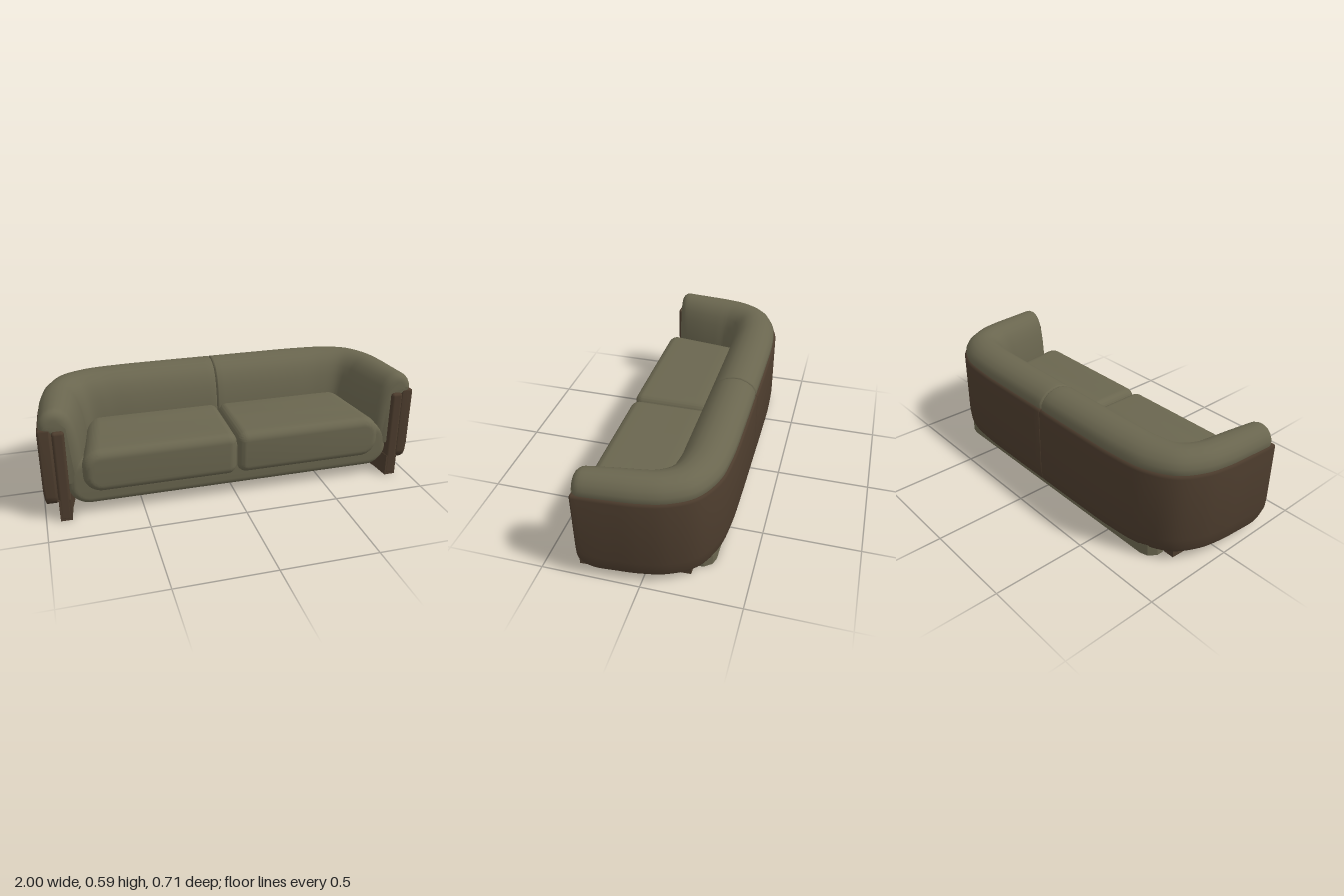
import * as THREE from 'three';
import { toCreasedNormals } from 'three/addons/utils/BufferGeometryUtils.js';
import { RoundedBoxGeometry } from 'three/addons/geometries/RoundedBoxGeometry.js';

const SEGMENTS = 8;
const curve = (pts) => new THREE.CatmullRomCurve3(pts.map(([x, z]) => new THREE.Vector3(x, 0, z)));

// Matching plan curves for half the sofa, from the back centre to the arm front
const outerPts = [[0, -0.355], [0.3, -0.355], [0.55, -0.35], [0.73, -0.325], [0.87, -0.25],
  [0.945, -0.13], [0.977, 0], [0.99, 0.15], [1, 0.31]];
const innerPts = [[0, -0.06], [0.25, -0.06], [0.45, -0.06], [0.6, -0.06], [0.7, -0.045],
  [0.735, 0], [0.745, 0.06], [0.765, 0.17], [0.8, 0.31]];
const outer = curve(outerPts);
const inner = curve(innerPts);

// Sections: [w, y], w runs from the outer curve (0) to the inner curve (1)
const rollSection = [[0.4, 0.18], [0.4, 0.46], [0.08, 0.48], [0.04, 0.5], [0.05, 0.53], [0.11, 0.558],
  [0.21, 0.58], [0.33, 0.592], [0.47, 0.594], [0.6, 0.584], [0.73, 0.56], [0.83, 0.522],
  [0.9, 0.47], [0.95, 0.41], [0.99, 0.33], [1, 0.18]];
const shellSection = [[0.05, 0.055], [0.02, 0.075], [0, 0.13], [0, 0.485], [0.015, 0.497], [0.05, 0.502],
  [0.3, 0.502], [0.33, 0.49], [0.33, 0.07], [0.3, 0.055]];

// Move a section inward by e, for rounded ends
function insetSection(section, e) {
  const T = 0.2, n = section.length;
  return section.map(([w, y], j) => {
    const a = section[(j + n - 1) % n], b = section[(j + 1) % n];
    const dw = (b[0] - a[0]) * T, dy = b[1] - a[1], len = Math.hypot(dw, dy);
    return [w + (dy / len) * e / T, y - (dw / len) * e];
  });
}

// Sweep a closed section along one half of the plan, s = 1 left or -1 right
function sweep(section, s, centre, r0, r1, reshape = (y) => y) {
  const rings = [], steps = 5, last = 0.16 * SEGMENTS, first = 0.3 * SEGMENTS;
  const d0 = r0 / first, d1 = r1 / last;
  for (let k = 0; k <= steps; k++) {
    const a = (k / steps) * Math.PI / 2;
    rings.push([d0 * (1 - Math.cos(a)), r0 * (1 - Math.sin(a))]);
  }
  for (let k = 1; k < 56; k++) rings.push([d0 + (1 - d0 - d1) * k / 56, 0]);
  for (let k = 0; k <= steps; k++) {
    const a = (k / steps) * Math.PI / 2;
    rings.push([1 - d1 * (1 - Math.sin(a)), r1 * (1 - Math.cos(a))]);
  }
  const pos = [], idx = [], n = section.length;
  const tri = (a, b, c) => (s > 0 ? idx.push(a, b, c) : idx.push(a, c, b));
  const put = (u, w, y) => {
    const p = outer.getPoint(u).lerp(inner.getPoint(u), w);
    pos.push(s * p.x, reshape(y, p.z), p.z);
  };
  for (const [u, e] of rings) for (const [w, y] of insetSection(section, e)) put(u, w, y);
  for (let i = 0; i < rings.length - 1; i++) {
    for (let j = 0; j < n; j++) {
      const a = i * n + j, b = i * n + (j + 1) % n;
      tri(a, b, a + n);
      tri(b, b + n, a + n);
    }
  }
  // Flat end caps
  const c0 = rings.length * n, end = c0 - n;
  put(0, ...centre);
  put(1, ...centre);
  for (let j = 0; j < n; j++) {
    const k = (j + 1) % n;
    tri(c0, k, j);
    tri(c0 + 1, end + j, end + k);
  }
  const g = new THREE.BufferGeometry();
  g.setAttribute('position', new THREE.Float32BufferAttribute(pos, 3));
  g.setIndex(idx);
  return toCreasedNormals(g, 0.8);
}

// Rectangle with radius ra on the x0 side and rb on the x1 side
function roundedRect(x0, x1, y0, y1, ra, rb) {
  const h = Math.PI / 2, sh = new THREE.Shape();
  sh.absarc(x0 + ra, y0 + ra, ra, 2 * h, 3 * h);
  sh.absarc(x1 - rb, y0 + rb, rb, 3 * h, 4 * h);
  sh.absarc(x1 - rb, y1 - rb, rb, 0, h);
  sh.absarc(x0 + ra, y1 - ra, ra, h, 2 * h);
  return sh;
}

// Front outline extruded from z0 to z1 with soft edges
function pillow(shape, z0, z1, size, thick) {
  const g = new THREE.ExtrudeGeometry(shape, { depth: z1 - z0 - 2 * thick, steps: 6, curveSegments: 10,
    bevelEnabled: true, bevelSize: size, bevelOffset: -size, bevelThickness: thick, bevelSegments: 8 });
  return g.translate(0, 0, z0 + thick);
}

// Plan outline [x, z] extruded between two heights
function slab(pts, y0, y1) {
  const shape = new THREE.Shape(pts.map(([x, z]) => new THREE.Vector2(x, z)));
  const g = new THREE.ExtrudeGeometry(shape, { depth: y1 - y0, bevelEnabled: false });
  return toCreasedNormals(g.rotateX(Math.PI / 2).translate(0, y1, 0), 0.6);
}

export function createModel() {
  const group = new THREE.Group();
  const fabric = new THREE.MeshStandardMaterial({ name: 'olive fabric', color: 0x6a664f });
  const leather = new THREE.MeshStandardMaterial({ name: 'brown leather', color: 0x4c3c2d });
  const add = (name, geometry, material) => {
    const m = new THREE.Mesh(geometry, material);
    m.name = name;
    group.add(m);
    return m;
  };

  // Shell underside curves up toward the arm fronts
  const shellReshape = (y, z) => {
    const t = Math.min(1, Math.max(0, (z - 0.2) / 0.115));
    const bottom = 0.055 + 0.1 * (1 - Math.sqrt(1 - t * t));
    return 0.502 - (0.502 - y) * (0.502 - bottom) / 0.447;
  };

  for (const s of [1, -1]) {
    const side = s > 0 ? 'left' : 'right';
    add(side + 'BackAndArmRoll', sweep(rollSection, s, [0.7, 0.5], 0.012, 0.045), fabric);
    add(side + 'Shell', sweep(shellSection, s, [0.16, 0.3], 0.004, 0.012, shellReshape), leather);

    // Seat cushion, narrower toward the back
    const outline = s > 0 ? roundedRect(0.002, 0.8, 0.14, 0.372, 0.05, 0.095)
      : roundedRect(-0.8, -0.002, 0.14, 0.372, 0.095, 0.05);
    const cushion = pillow(outline, -0.1, 0.352, 0.045, 0.05);
    const p = cushion.attributes.position;
    for (let i = 0; i < p.count; i++) {
      const t = Math.min(1, Math.max(0, (0.3 - p.getZ(i)) / 0.4));
      p.setX(i, p.getX(i) * (1 - 0.07 * t));
    }
    add(side + 'SeatCushion', toCreasedNormals(cushion, 0.8), fabric);

    // Curved runner foot and upright front panel
    const foot = [[0.93, 0.33], [0.925, 0.22], [0.9, 0.1], [0.87, 0], [0.86, -0.215],
      [0.8, -0.215], [0.81, 0], [0.835, 0.1], [0.86, 0.22], [0.87, 0.33]];
    add(side + 'Foot', slab(foot.map(([x, z]) => [s * x, z]), 0, 0.12), leather);
    const panel = add(side + 'FrontPanel', new RoundedBoxGeometry(0.06, 0.49, 0.13, 3, 0.015), leather);
    panel.position.set(s * 0.9, 0.247, 0.266);
  }

  // Seat base with a rounded rim in front
  add('seatBase', toCreasedNormals(pillow(roundedRect(-0.875, 0.875, 0.06, 0.32, 0.11, 0.11),
    -0.12, 0.312, 0.04, 0.04), 0.8), fabric);

  // Underside plate following the plan
  const half = outer.getPoints(40).map((v) => [v.x * 0.96, v.z * 0.96]).filter(([, z]) => z < 0.15);
  const mirrored = half.slice(1).reverse().map(([x, z]) => [-x, z]);
  add('underside', slab([...mirrored, ...half], 0.066, 0.12), fabric);

  // Rear plinth bar
  const bar = [[-0.8, -0.22], [-0.8, -0.26], [-0.77, -0.3], [-0.73, -0.312],
    [0.73, -0.312], [0.77, -0.3], [0.8, -0.26], [0.8, -0.22]];
  add('rearPlinth', slab(bar, 0, 0.09), fabric);

  return group;
}
